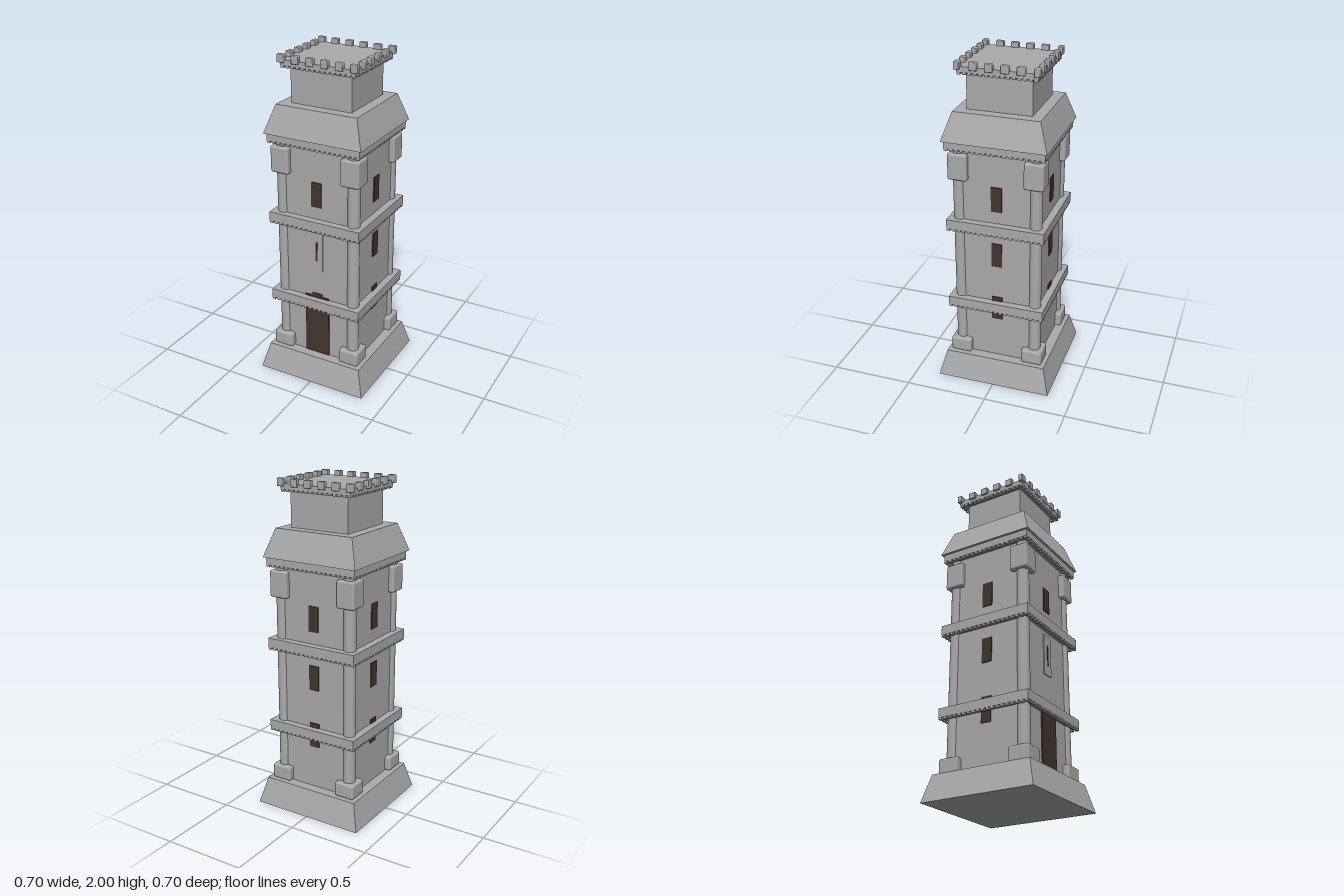
import * as THREE from 'three';
import { RoundedBoxGeometry } from 'three/addons/geometries/RoundedBoxGeometry.js';

const mat = (name, color) => {
  const m = new THREE.MeshStandardMaterial({ color });
  m.name = name;
  return m;
};

export function createModel() {
  const tower = new THREE.Group();
  tower.name = 'tower';
  const stone = mat('stone grey', 0xaaaaaa);
  const wood = mat('dark wood', 0x42352e);

  const add = (name, geometry, material, x = 0, y = 0, z = 0, parent = tower) => {
    const mesh = new THREE.Mesh(geometry, material);
    mesh.name = name;
    mesh.position.set(x, y, z);
    parent.add(mesh);
    return mesh;
  };

  // Square block between two heights, with its own half width at each end
  const block = (name, y0, y1, half0, half1 = half0) => {
    let g = new THREE.CylinderGeometry(half1 * Math.SQRT2, half0 * Math.SQRT2, y1 - y0, 4);
    g.rotateY(Math.PI / 4);
    g = g.toNonIndexed();
    g.computeVertexNormals();
    return add(name, g, stone, 0, (y0 + y1) / 2, 0);
  };

  block('base', 0, 0.162, 0.352, 0.31);
  block('walls', 0.16, 1.53, 0.25);
  block('roof', 1.555, 1.72, 0.308, 0.253);
  block('upperTower', 1.71, 1.945, 0.19);

  // Ledges with a row of small teeth under each edge
  const ledge = (name, y0, y1, half, count) => {
    block(name, y0, y1, half);
    const teeth = new THREE.Group();
    teeth.name = name + 'Teeth';
    tower.add(teeth);
    const tooth = new THREE.BoxGeometry(0.019, 0.014, 0.02);
    const reach = half - 0.011;
    for (let side = 0; side < 4; side++) {
      const row = new THREE.Group();
      row.name = 'toothRow';
      row.rotation.y = side * Math.PI / 2;
      teeth.add(row);
      for (let i = 0; i < count; i++) {
        const x = -reach + (2 * reach * i) / (count - 1);
        add('tooth', tooth, stone, x, y0 - 0.005, reach, row);
      }
    }
  };
  ledge('lowerLedge', 0.494, 0.55, 0.294, 19);
  ledge('middleLedge', 1.012, 1.07, 0.294, 19);
  ledge('upperLedge', 1.512, 1.556, 0.294, 19);
  ledge('parapet', 1.937, 1.97, 0.23, 15);

  // Corner columns with a foot and a head block
  const shaft = new THREE.CylinderGeometry(0.036, 0.036, 1.35, 24);
  const foot = new RoundedBoxGeometry(0.126, 0.09, 0.126, 2, 0.012);
  const head = new RoundedBoxGeometry(0.116, 0.16, 0.116, 2, 0.012);
  for (const sx of [-1, 1]) {
    for (const sz of [-1, 1]) {
      add('cornerColumn', shaft, stone, sx * 0.23, 0.835, sz * 0.23);
      add('columnFoot', foot, stone, sx * 0.225, 0.208, sz * 0.225);
      add('columnHead', head, stone, sx * 0.225, 1.4, sz * 0.225);
    }
  }

  // Merlons: six along front and back, four between them on each side
  const merlonX = new RoundedBoxGeometry(0.044, 0.046, 0.031, 2, 0.005);
  const merlonZ = new RoundedBoxGeometry(0.031, 0.046, 0.046, 2, 0.005);
  for (let i = 0; i < 6; i++) {
    const t = -0.226 + i * 0.0904;
    for (const s of [-1, 1]) {
      add('merlon', merlonX, stone, t, 1.977, s * 0.226);
      if (i > 0 && i < 5) add('merlon', merlonZ, stone, s * 0.226, 1.977, t);
    }
  }

  // Thin plate set on one wall
  const plate = (name, material, halfW, y0, y1, parent, z = 0.252) =>
    add(name, new THREE.BoxGeometry(halfW * 2, y1 - y0, 0.008), material, 0, (y0 + y1) / 2, z, parent);

  for (let side = 0; side < 4; side++) {
    const face = new THREE.Group();
    face.name = ['frontOpenings', 'leftOpenings', 'backOpenings', 'rightOpenings'][side];
    face.rotation.y = side * Math.PI / 2;
    tower.add(face);
    plate('upperWindow', wood, 0.032, 1.145, 1.297, face);
    plate('lowerWindow', wood, 0.032, 0.425, 0.578, face);
    if (side === 0) {
      plate('door', wood, 0.079, 0.162, 0.56, face, 0.253);
      plate('slitFrame', stone, 0.04, 0.737, 0.985, face);
      plate('slit', wood, 0.006, 0.8, 0.922, face, 0.255);
    } else {
      plate('middleWindow', wood, 0.032, 0.787, 0.938, face);
    }
  }
  return tower;
}
